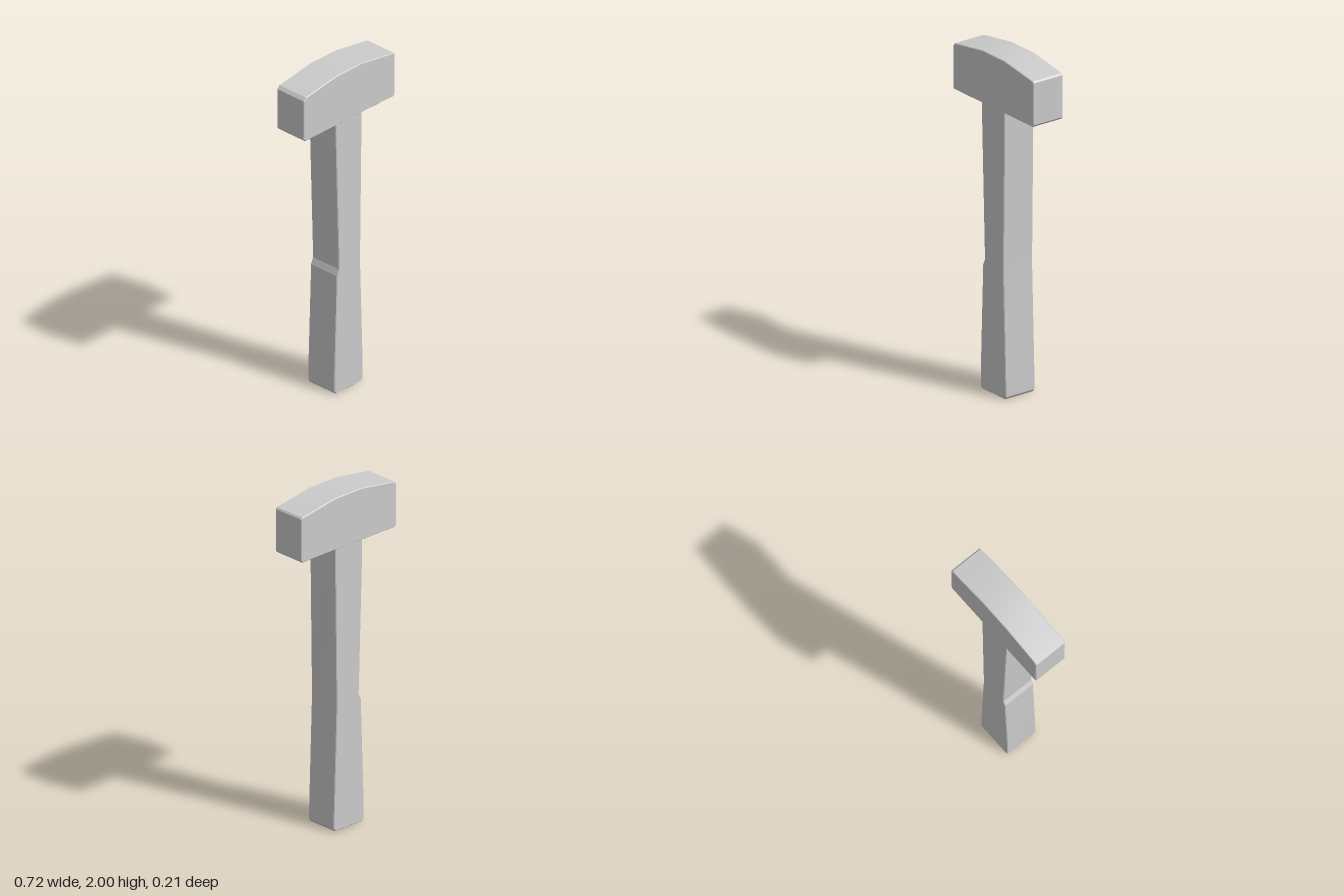
import * as THREE from 'three';
import { toCreasedNormals } from 'three/addons/utils/BufferGeometryUtils.js';

const material = new THREE.MeshStandardMaterial({ color: 0xcccccc });

// Outline extruded along z, centred, with a fine chamfer kept inside the outline
function slab(name, outline, depth, bevel) {
  const shape = new THREE.Shape(outline.map(([x, y]) => new THREE.Vector2(x, y)));
  const geometry = new THREE.ExtrudeGeometry(shape, {
    depth: depth - 2 * bevel,
    bevelEnabled: true,
    bevelThickness: bevel,
    bevelSize: bevel,
    bevelOffset: -bevel,
    bevelSegments: 1,
  });
  geometry.translate(0, 0, -depth / 2 + bevel);
  const mesh = new THREE.Mesh(toCreasedNormals(geometry, Math.PI / 9), material);
  mesh.name = name;
  return mesh;
}

export function createModel() {
  const group = new THREE.Group();
  group.name = 'hammer';

  // Block head with a sloped crown and clipped corners
  group.add(slab('head', [
    [-0.348, 1.69], [0.35, 1.69], [0.36, 1.702], [0.36, 1.95], [0.352, 1.96],
    [0.1, 2], [-0.1, 2], [-0.343, 1.963], [-0.36, 1.945], [-0.36, 1.702],
  ], 0.206, 0.004));

  // Waisted handle with a notch on one edge, its top sunk into the head
  group.add(slab('handle', [
    [-0.105, 0], [0.1, 0], [0.11, 0.015], [0.11, 0.1], [0.09, 0.72],
    [0.09, 0.85], [0.1, 1.6], [0.1, 1.72], [-0.105, 1.72], [-0.105, 1.6],
    [-0.081, 0.83], [-0.079, 0.772], [-0.095, 0.735], [-0.115, 0.15], [-0.115, 0.015],
  ], 0.202, 0.004));

  return group;
}
